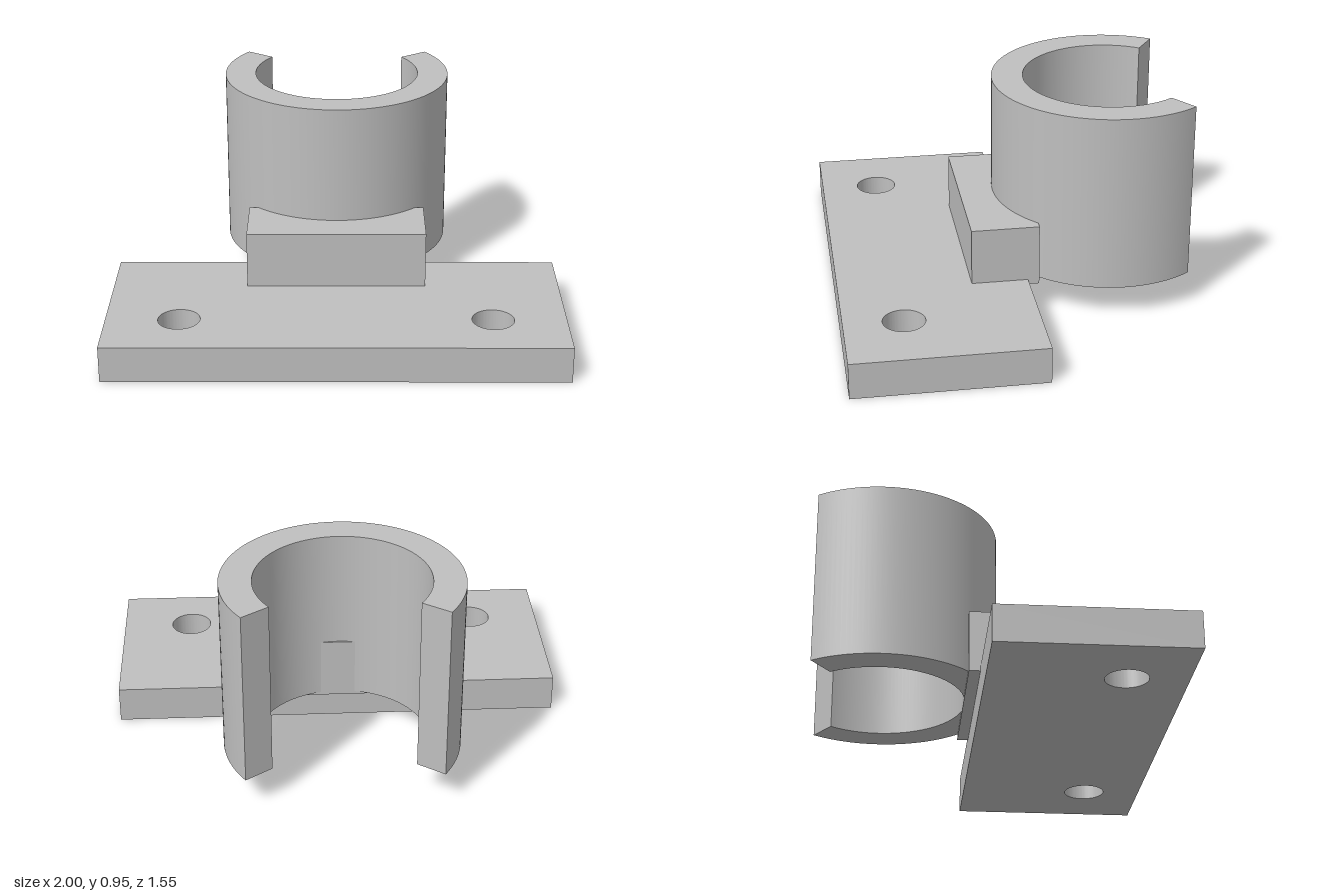
import * as THREE from 'three';
import { toCreasedNormals } from 'three/addons/utils/BufferGeometryUtils.js';

const grey = new THREE.MeshStandardMaterial({ name: 'grey', color: 0xbfbfbf });

// Extrude a plan outline (shape y = -z) upward from y0 to y1
function slab(name, shape, y0, y1) {
  const extruded = new THREE.ExtrudeGeometry(shape, {
    depth: y1 - y0, bevelEnabled: false, curveSegments: 48,
  });
  extruded.rotateX(-Math.PI / 2).translate(0, y0, 0);
  const mesh = new THREE.Mesh(toCreasedNormals(extruded, 0.5), grey);
  mesh.name = name;
  return mesh;
}

function rectangle(halfWidth, zBack, zFront) {
  return new THREE.Shape([
    new THREE.Vector2(-halfWidth, -zFront),
    new THREE.Vector2(halfWidth, -zFront),
    new THREE.Vector2(halfWidth, -zBack),
    new THREE.Vector2(-halfWidth, -zBack),
  ]);
}

export function createModel() {
  const model = new THREE.Group();
  model.name = 'clipBracket';

  // Mounting plate with two screw holes
  const plate = rectangle(1, -0.06, 0.777);
  for (const side of [-1, 1]) {
    plate.holes.push(new THREE.Path().absarc(side * 0.68, -0.517, 0.092, 0, Math.PI * 2, true));
  }
  model.add(slab('mountingPlate', plate, 0, 0.163));

  // Block joining plate and clip
  model.add(slab('joiningBlock', rectangle(0.4, -0.11, 0.19), 0.14, 0.418));

  // Round clip, open at the back
  const start = THREE.MathUtils.degToRad(145);
  const end = THREE.MathUtils.degToRad(395);
  const clip = new THREE.Shape();
  clip.absarc(0, 0.48, 0.518, start, end, false);
  clip.absarc(0, 0.48, 0.378, end, start, true);
  clip.closePath();
  model.add(slab('clipRing', clip, 0.153, 0.95));

  return model;
}
